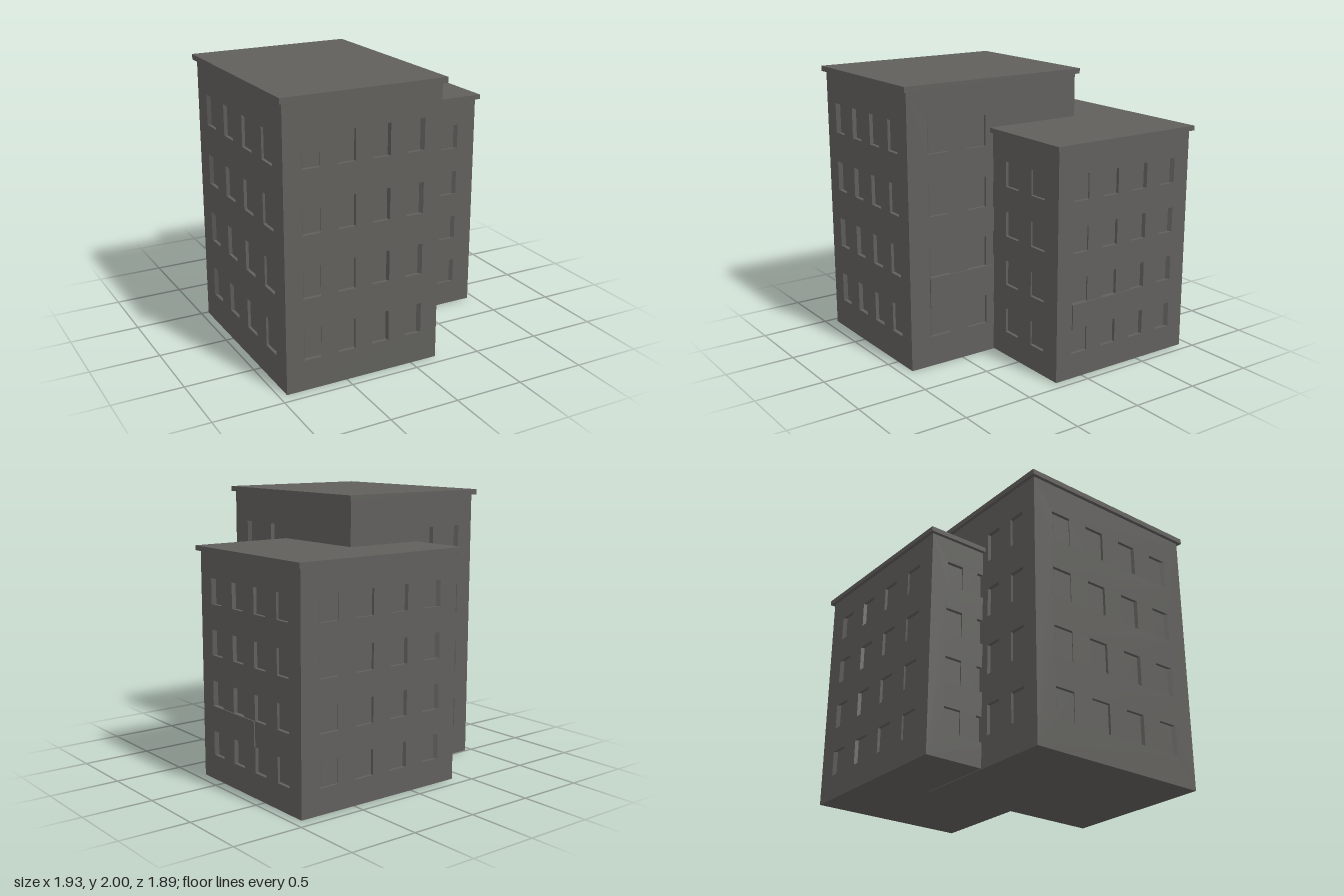
import * as THREE from 'three';

const mat = new THREE.MeshStandardMaterial({ color: 0x605f5c, flatShading: true, side: THREE.DoubleSide });
const CELLS = 9; // each wall is a 9 x 9 grid with windows in the odd cells
const TAPER = 0.96; // window recesses slant towards the wall centre

function add(parent, name, geometry, x = 0, y = 0, z = 0) {
  const mesh = new THREE.Mesh(geometry, mat);
  mesh.name = name;
  mesh.position.set(x, y, z);
  parent.add(mesh);
  return mesh;
}

// Slanted reveal and pane of one window, seen from outside
function recessGeometry(x0, x1, y0, y1, depth) {
  const ring = (s, z) => [[x0 * s, y0, z], [x1 * s, y0, z], [x1 * s, y1, z], [x0 * s, y1, z]];
  const f = ring(1, 0), b = ring(TAPER, -depth);
  const pos = [];
  const quad = (p, q, r, s) => pos.push(...p, ...q, ...r, ...p, ...r, ...s);
  quad(...b);
  for (let i = 0; i < 4; i++) {
    const j = (i + 1) % 4;
    quad(f[i], f[j], b[j], b[i]);
  }
  const g = new THREE.BufferGeometry();
  g.setAttribute('position', new THREE.Float32BufferAttribute(pos, 3));
  g.computeVertexNormals();
  return g;
}

// Wall in its own plane: x along the wall, z outwards
function wall(name, width, height, columns, depth) {
  const group = new THREE.Group();
  group.name = name;
  const cw = width / CELLS, ch = height / CELLS;
  const shape = new THREE.Shape([
    new THREE.Vector2(-width / 2, 0), new THREE.Vector2(width / 2, 0),
    new THREE.Vector2(width / 2, height), new THREE.Vector2(-width / 2, height),
  ]);
  for (const col of columns) {
    for (let row = 0; row < 4; row++) {
      const x0 = -width / 2 + (1 + 2 * col) * cw, x1 = x0 + cw;
      const y0 = (1 + 2 * row) * ch, y1 = y0 + ch;
      shape.holes.push(new THREE.Path([
        new THREE.Vector2(x0, y0), new THREE.Vector2(x0, y1),
        new THREE.Vector2(x1, y1), new THREE.Vector2(x1, y0),
      ]));
      add(group, 'window', recessGeometry(x0, x1, y0, y1, depth));
    }
  }
  add(group, 'wallFace', new THREE.ShapeGeometry(shape));
  return group;
}

function building(name, { w, d, h, x, y, z, roof, columns }) {
  const group = new THREE.Group();
  group.name = name;
  group.position.set(x, y, z);

  // Four walls, turned around the block
  ['frontWall', 'rightWall', 'backWall', 'leftWall'].forEach((wallName, i) => {
    const side = i % 2 === 1;
    const out = (side ? w : d) / 2;
    const a = i * Math.PI / 2;
    const part = wall(wallName, side ? d : w, h, columns[i], out * (1 - TAPER));
    part.rotation.y = a;
    part.position.set(Math.sin(a) * out, 0, Math.cos(a) * out);
    group.add(part);
  });

  // Floor and overhanging roof slab
  add(group, 'floor', new THREE.PlaneGeometry(w, d)).rotation.x = Math.PI / 2;
  add(group, 'roofSlab', new THREE.BoxGeometry(w + 0.05, roof, d + 0.05), 0, h + roof / 2, 0);

  // Thin raised panel between the two lowest floors of the right wall
  const cd = d / CELLS, ch = h / CELLS;
  add(group, 'spandrelPanel', new THREE.BoxGeometry(0.02, ch, 4 * cd), w / 2, 2.5 * ch, d / 2 - 3 * cd);
  return group;
}

export function createModel() {
  const model = new THREE.Group();
  model.name = 'apartmentBlocks';
  const all = [0, 1, 2, 3];
  // Columns listed per wall: front, right, back, left; buried ones are left out
  model.add(building('tallBlock', {
    w: 1.143, d: 1.41, h: 1.962, x: -0.373, y: 0, z: 0.214, roof: 0.038,
    columns: [all, [0, 1], [2, 3], all],
  }));
  model.add(building('lowBlock', {
    w: 1.32, d: 1.153, h: 1.61, x: 0.28, y: 0.006, z: -0.346, roof: 0.034,
    columns: [[1, 2, 3], all, all, [0, 1]],
  }));
  return model;
}
